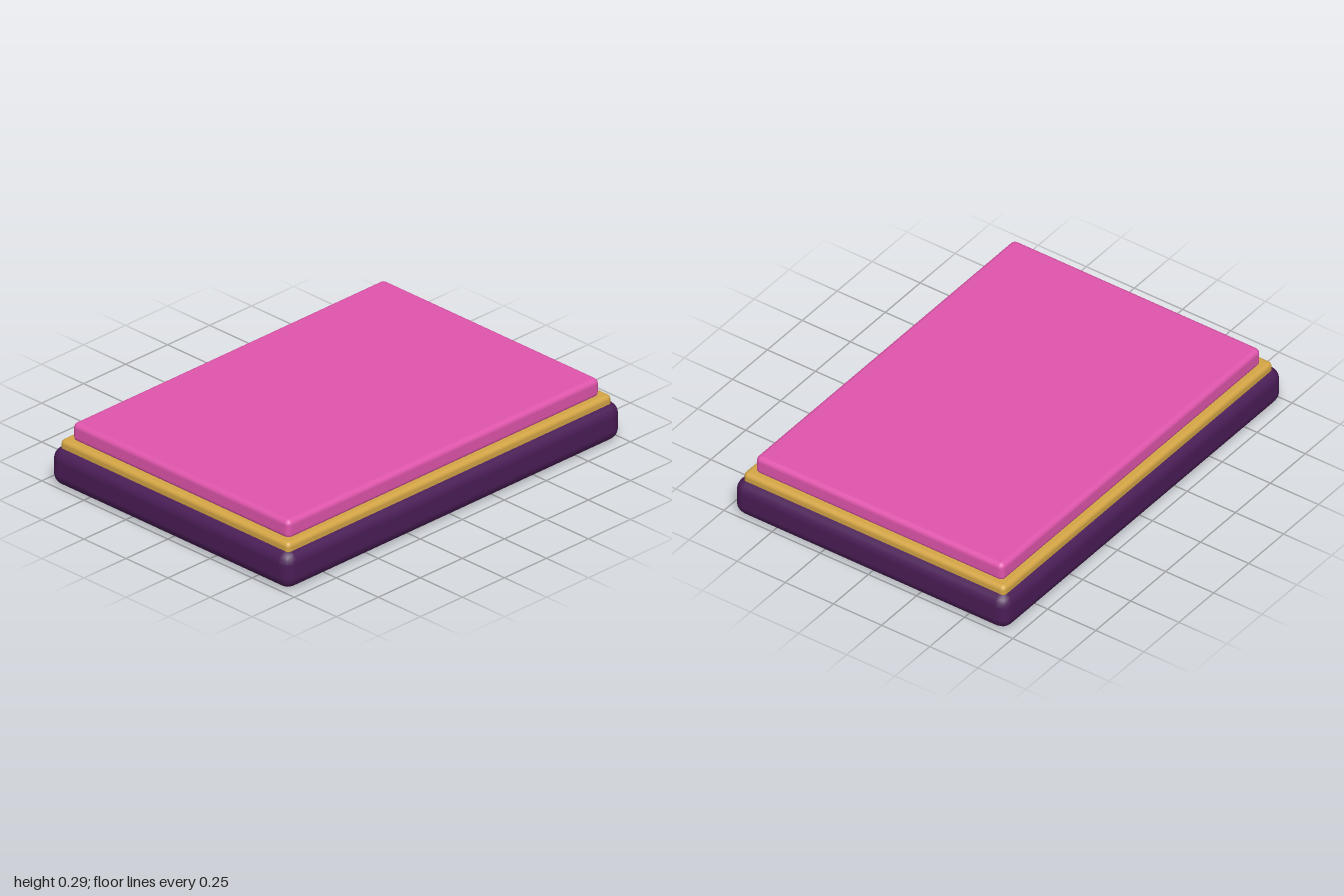
import * as THREE from 'three';
import { RoundedBoxGeometry } from 'three/addons/geometries/RoundedBoxGeometry.js';

// Rounded slab spanning bottom..top in y, centred on x and z
function slab(name, color, width, depth, bottom, top, radius) {
  const geometry = new RoundedBoxGeometry(width, top - bottom, depth, 2, radius);
  const mesh = new THREE.Mesh(geometry, new THREE.MeshStandardMaterial({ color }));
  mesh.name = name;
  mesh.position.y = (bottom + top) / 2;
  return mesh;
}

export function createModel() {
  const model = new THREE.Group();
  model.name = 'steppedPlatform';
  model.add(
    slab('base', 0x4a1d56, 2, 1.425, 0, 0.178, 0.058),
    slab('goldTrim', 0xd4a545, 1.93, 1.36, 0.15, 0.212, 0.022),
    slab('topPanel', 0xe055ac, 1.856, 1.288, 0.2, 0.29, 0.025),
  );
  return model;
}
